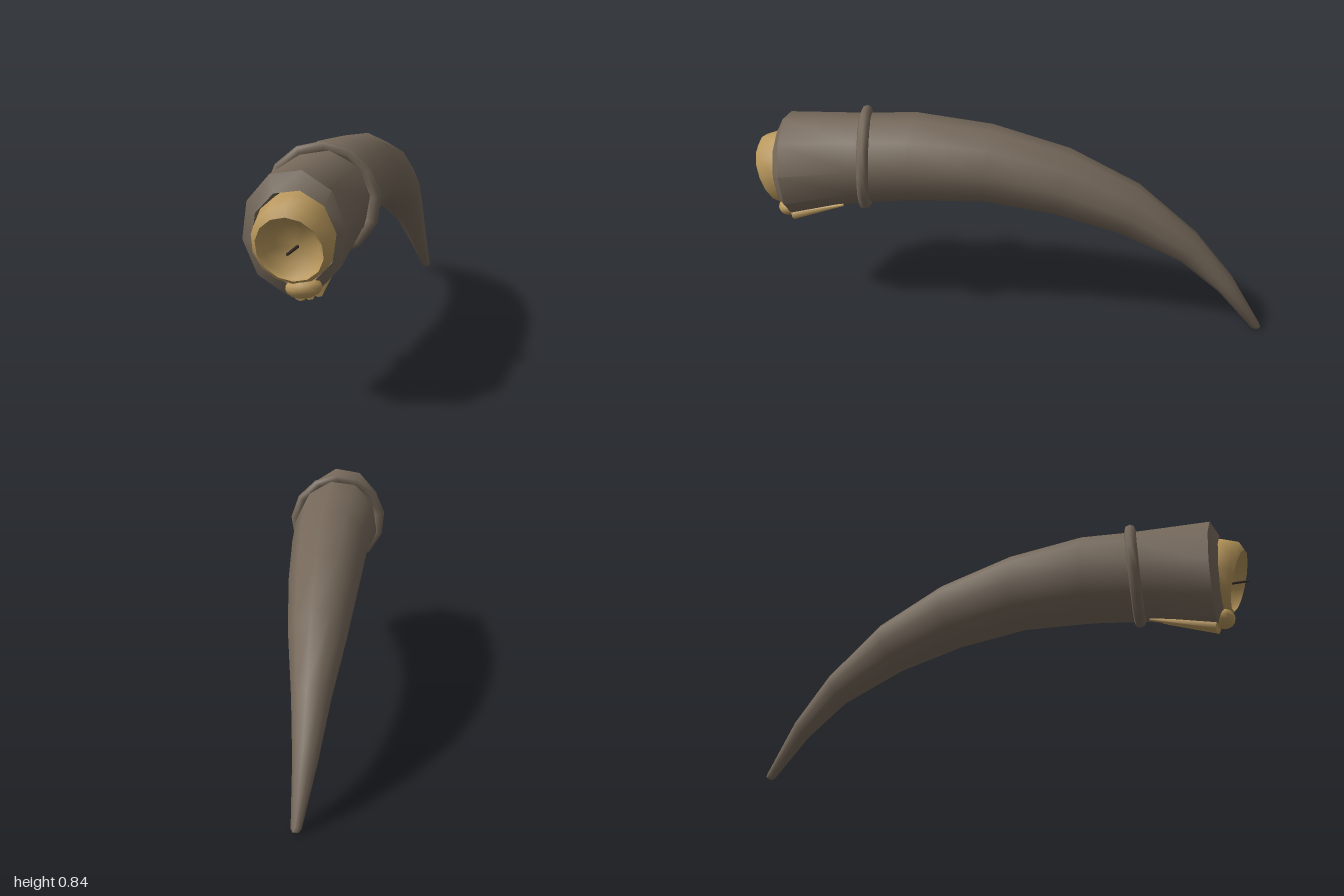
import * as THREE from 'three';
import { toCreasedNormals } from 'three/addons/utils/BufferGeometryUtils.js';

// Cross-section: centre x, half width, top (z, y) and bottom (z, y)
const sec = (x, rx, tz, ty, bz, by) => ({ x, rx, tz, ty, bz, by });

// Point on a cross-section at angle a (0 = +x, PI/2 = top)
function ringPoint(s, a) {
  const k = Math.sin(a) / 2;
  return new THREE.Vector3(
    s.x + s.rx * Math.cos(a),
    (s.ty + s.by) / 2 + k * (s.ty - s.by),
    (s.tz + s.bz) / 2 + k * (s.tz - s.bz)
  );
}

// Skin a list of cross-sections, ordered so the outside faces outward
function loft(sections, sides, offset, crease) {
  const pos = [], index = [];
  for (const s of sections) {
    for (let j = 0; j < sides; j++) {
      pos.push(...ringPoint(s, offset + (j / sides) * Math.PI * 2).toArray());
    }
  }
  for (let i = 0; i < sections.length - 1; i++) {
    for (let j = 0; j < sides; j++) {
      const k = (j + 1) % sides;
      const a = i * sides + j, b = i * sides + k, c = a + sides, d = b + sides;
      if (sections[i].rx > 0) index.push(a, c, b);
      if (sections[i + 1].rx > 0) index.push(b, c, d);
    }
  }
  const g = new THREE.BufferGeometry();
  g.setAttribute('position', new THREE.Float32BufferAttribute(pos, 3));
  g.setIndex(index);
  return toCreasedNormals(g, crease);
}

export function createModel() {
  const group = new THREE.Group();
  const material = (name, color) => {
    const m = new THREE.MeshStandardMaterial({ color });
    m.name = name;
    return m;
  };
  const hornMat = material('horn brown', 0x75685a);
  const waxMat = material('tallow wax', 0xb8975c);
  const wickMat = material('wick dark', 0x3a3028);

  const add = (name, geometry, mat, parent = group) => {
    const mesh = new THREE.Mesh(geometry, mat);
    mesh.name = name;
    parent.add(mesh);
    return mesh;
  };

  // Curved horn: inner wall, bevelled mouth, then the body down to the tip
  const mouth = sec(-0.005, 0.176, 0.88, 0.802, 0.868, 0.385);
  const collar = sec(0, 0.165, 0.58, 0.815, 0.6, 0.458);
  add('horn', loft([
    sec(0.003, 0.135, 0.75, 0.74, 0.75, 0.45),
    sec(0.003, 0.142, 0.91, 0.742, 0.895, 0.43),
    mouth,
    collar,
    sec(0, 0.169, 0.38, 0.828, 0.38, 0.487),
    sec(0.01, 0.148, 0.08, 0.803, 0.1, 0.503),
    sec(0.015, 0.131, -0.22, 0.723, -0.17, 0.468),
    sec(0.02, 0.106, -0.49, 0.592, -0.42, 0.4),
    sec(0.027, 0.068, -0.72, 0.402, -0.66, 0.29),
    sec(0.036, 0.043, -0.87, 0.224, -0.82, 0.16),
    sec(0.056, 0.018, -0.995, 0.025, -0.965, 0.005),
    sec(0.057, 0.01, -1, 0.014, -0.982, 0),
    sec(0.057, 0, -0.992, 0.006, -0.992, 0.006)
  ], 10, 0.14, 0.85), hornMat);

  // Binding ring around the horn
  const ring = add('bindingRing', new THREE.TorusGeometry(0.181, 0.022, 8, 13), hornMat);
  ring.position.set(0, 0.64, 0.57);
  ring.rotation.set(-0.04, 0.14, 0.1);

  // Wax plug: hollow melted bowl, rolled lip, outer wall inside the horn
  add('waxBowl', loft([
    sec(0.01, 0, 0.89, 0.56, 0.89, 0.56),
    sec(0.01, 0.075, 0.905, 0.63, 0.885, 0.49),
    sec(0.01, 0.1, 0.955, 0.655, 0.91, 0.455),
    sec(0.006, 0.112, 0.997, 0.672, 0.922, 0.449),
    sec(0.004, 0.127, 0.98, 0.705, 0.917, 0.44),
    sec(0.003, 0.136, 0.91, 0.73, 0.9, 0.435),
    sec(0.003, 0.134, 0.75, 0.735, 0.75, 0.45)
  ], 14, Math.PI / 2, 1.1), waxMat);

  // Wick
  const wick = add('wick', new THREE.CylinderGeometry(0.005, 0.006, 0.12, 6), wickMat);
  wick.rotation.x = Math.PI / 2;
  wick.position.set(0.012, 0.556, 0.935);

  // Spilled wax: a lump over the lower lip with drips running along the underside
  const spill = new THREE.Group();
  spill.name = 'waxSpill';
  group.add(spill);
  const lump = add('waxLump', new THREE.SphereGeometry(1, 12, 8), waxMat, spill);
  lump.scale.set(0.063, 0.036, 0.042);
  lump.position.set(0.03, 0.423, 0.888);
  lump.rotation.z = 0.15;

  const onHorn = (t, a) => ringPoint(mouth, a).lerp(ringPoint(collar, a), t);
  const up = new THREE.Vector3(0, 1, 0);
  [[-1.5, -1.5, 0.95], [-1.33, -1.25, 0.72], [-1.15, -1.0, 0.8]].forEach(([a0, a1, t], i) => {
    const from = onHorn(0.02, a0), to = onHorn(t, a1);
    const dir = to.clone().sub(from);
    const drip = add('waxDrip' + (i + 1),
      new THREE.CylinderGeometry(0.005, 0.022, dir.length(), 8), waxMat, spill);
    drip.position.copy(from).lerp(to, 0.5);
    drip.quaternion.setFromUnitVectors(up, dir.normalize());
  });

  return group;
}
